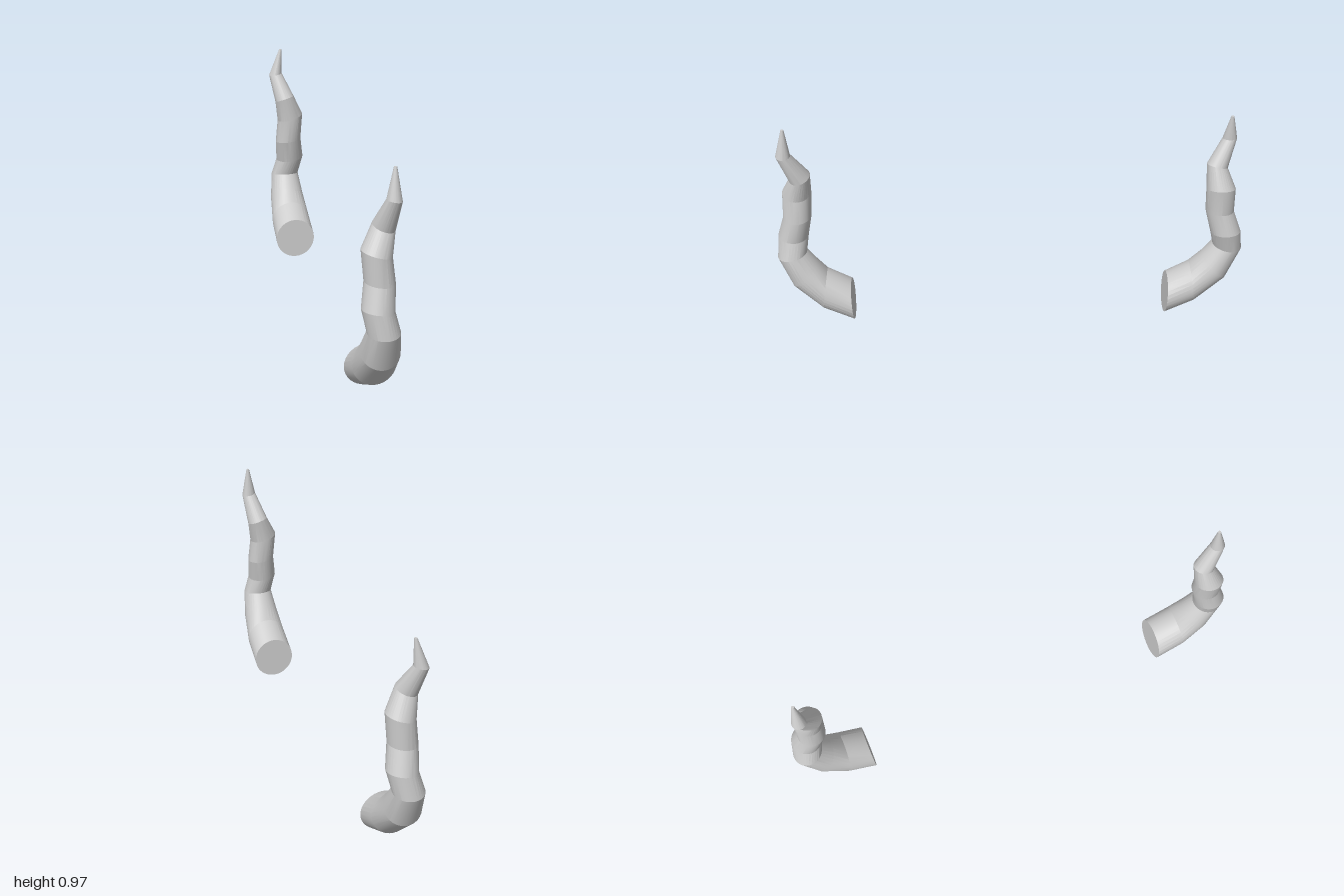
import * as THREE from 'three';
import { toCreasedNormals } from 'three/addons/utils/BufferGeometryUtils.js';

const SIDES = 32;

// radius, pitch and roll (degrees) of each ring, shared by both horns
const RINGS = [
  [0.091, -3, 0], [0.089, 8, 0], [0.078, 45, 0], [0.064, 80, 0], [0.064, 93, 7],
  [0.06, 88, 7], [0.061, 90, 15], [0.045, 77, 16], [0.03, 90, 10], [0.006, 90, 0],
];

// ring centres from base to tip
const FRONT_PATH = [
  [0, 0.095, 0.695], [0, 0.157, 0.812], [0, 0.245, 0.893], [0, 0.344, 0.94], [-0.02, 0.43, 0.93],
  [-0.009, 0.53, 0.905], [-0.02, 0.643, 0.899], [0.011, 0.735, 0.877], [0.034, 0.852, 0.933], [0.038, 0.976, 0.924],
];
const BACK_PATH = [
  [0, 0.097, 0.677], [0, 0.155, 0.789], [0, 0.243, 0.88], [0, 0.345, 0.931], [-0.022, 0.43, 0.915],
  [-0.01, 0.53, 0.884], [-0.019, 0.645, 0.879], [0.01, 0.74, 0.86], [0.044, 0.852, 0.908], [0.019, 0.97, 0.906],
];

// skin a tube through tilted, tapering rings and cap both ends
function hornGeometry(path) {
  const positions = [], index = [];
  path.forEach(([x, y, z], i) => {
    const [r, pitchDeg, rollDeg] = RINGS[i];
    const pitch = THREE.MathUtils.degToRad(pitchDeg);
    const roll = THREE.MathUtils.degToRad(rollDeg);
    const u = new THREE.Vector3(Math.cos(roll), -Math.sin(roll), 0);
    const v = new THREE.Vector3(0, Math.cos(pitch), -Math.sin(pitch));
    for (let k = 0; k < SIDES; k++) {
      const a = (k / SIDES) * Math.PI * 2;
      const p = new THREE.Vector3(x, y, z)
        .addScaledVector(u, r * Math.cos(a))
        .addScaledVector(v, r * Math.sin(a));
      positions.push(p.x, p.y, p.z);
    }
  });
  const last = path.length - 1;
  const baseCentre = positions.length / 3;
  positions.push(...path[0], ...path[last]);

  for (let k = 0; k < SIDES; k++) {
    const n = (k + 1) % SIDES;
    for (let i = 0; i < last; i++) {
      const a = i * SIDES + k, b = i * SIDES + n;
      index.push(a, b, b + SIDES, a, b + SIDES, a + SIDES);
    }
    index.push(baseCentre, n, k);
    index.push(baseCentre + 1, last * SIDES + k, last * SIDES + n);
  }
  const geometry = new THREE.BufferGeometry();
  geometry.setAttribute('position', new THREE.Float32BufferAttribute(positions, 3));
  geometry.setIndex(index);
  return toCreasedNormals(geometry, 0.22);
}

export function createModel() {
  const group = new THREE.Group();
  group.name = 'hornPair';
  const material = new THREE.MeshStandardMaterial({ color: 0xcccccc });

  const front = new THREE.Mesh(hornGeometry(FRONT_PATH), material);
  front.name = 'frontHorn';

  // the other horn faces the opposite way
  const back = new THREE.Mesh(hornGeometry(BACK_PATH), material);
  back.name = 'backHorn';
  back.rotation.y = Math.PI;

  group.add(front, back);
  return group;
}
